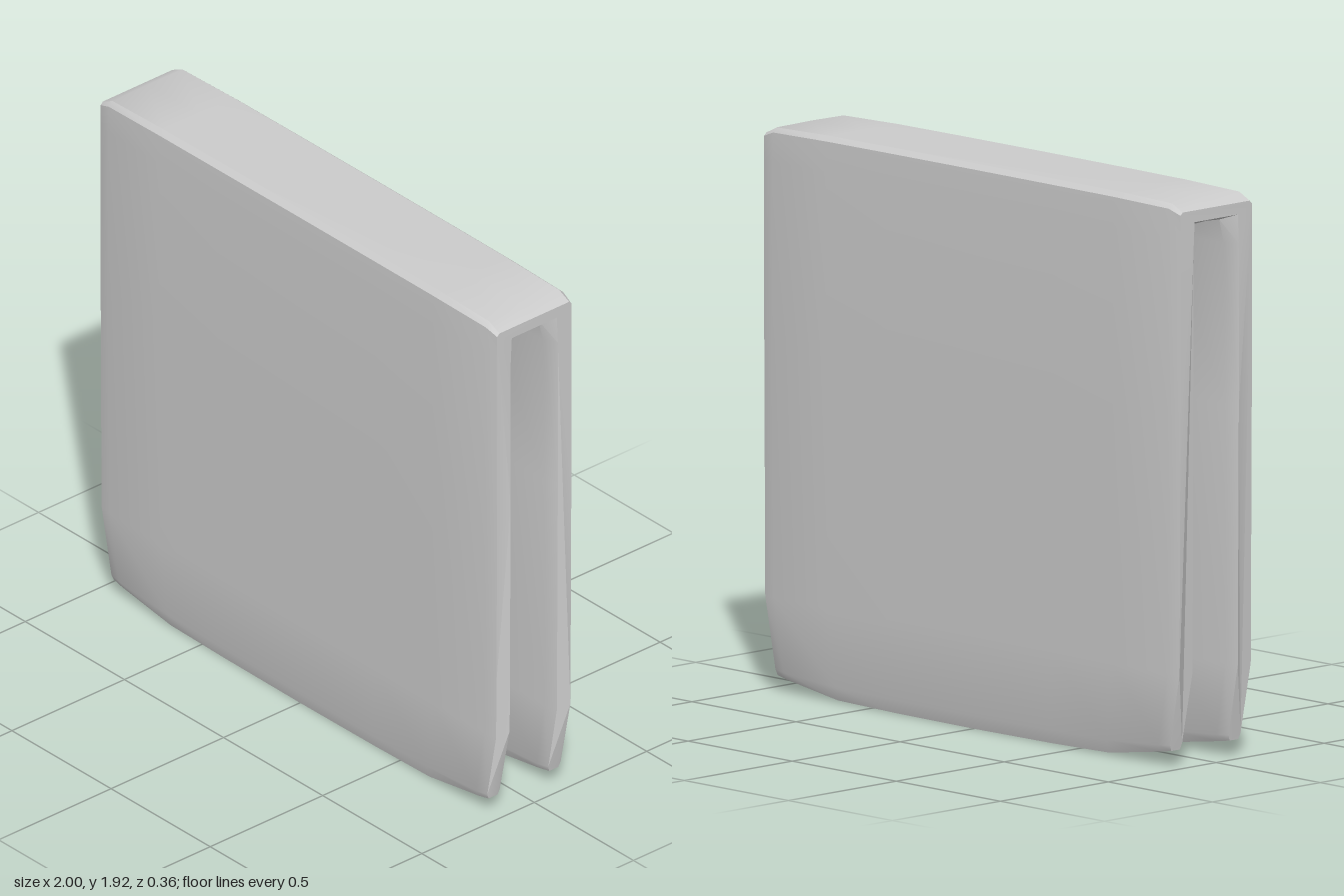
import * as THREE from 'three';
import { toCreasedNormals } from 'three/addons/utils/BufferGeometryUtils.js';

// Half of the U-shaped section as [z, y], from the top centre down the
// outside of a leg, round its tip and up the inside.
const MIDDLE = [
  [0, 1.925], [0.155, 1.922], [0.175, 1.905], [0.18, 1.8], [0.18, 1.2], [0.178, 0.32], [0.173, 0.052], [0.16, 0.003],
  [0.11, 0.003], [0.095, 0.052], [0.09, 0.32], [0.083, 1.2], [0.075, 1.75], [0.05, 1.825], [0, 1.83],
];
// The same points where the section is drawn in at the open ends.
const END = [
  [0, 1.89], [0.155, 1.89], [0.165, 1.88], [0.165, 1.8], [0.165, 1.2], [0.165, 0.32], [0.163, 0.075], [0.155, 0.055],
  [0.115, 0.055], [0.108, 0.075], [0.105, 0.32], [0.105, 1.2], [0.105, 1.75], [0.1, 1.85], [0, 1.85],
];
// Stations across the width: [position, blend to END, blend for the leg tips]
const HALF_STATIONS = [[0, 0, 0], [0.4, 0.02, 0.04], [0.69, 0.06, 0.14], [0.95, 0.25, 0.85], [1, 1, 1]];

// Half the width at a height: the lower corners taper in.
function halfWidth(y) {
  const t = THREE.MathUtils.clamp((y - 0.06) / 0.26, 0, 1);
  return 0.945 + 0.05 * t + 0.005 * THREE.MathUtils.clamp((y - 0.32) / 0.9, 0, 1);
}

function section([, blend, tipBlend]) {
  const half = MIDDLE.map(([z, y], i) => {
    const t = y < 0.06 ? tipBlend : blend;
    return [
      THREE.MathUtils.lerp(z, END[i][0], blend),
      THREE.MathUtils.lerp(y, END[i][1], t),
    ];
  });
  const mirrored = half.slice(1, -1).reverse().map(([z, y]) => [-z, y]);
  return half.concat(mirrored);
}

function foldedShell() {
  const stations = [
    ...HALF_STATIONS.slice(1).reverse().map(([s, a, b]) => [-s, a, b]),
    ...HALF_STATIONS,
  ];
  const positions = [];
  const index = [];
  const count = section(stations[0]).length;

  // Rings of the section, widened to the outline
  stations.forEach((station) => {
    section(station).forEach(([z, y]) => positions.push(station[0] * halfWidth(y), y, z));
  });
  for (let k = 0; k < stations.length - 1; k++) {
    for (let i = 0; i < count; i++) {
      const j = (i + 1) % count;
      const a = k * count + i, b = k * count + j;
      const c = b + count, d = a + count;
      index.push(a, b, c, a, c, d);
    }
  }

  // U-shaped end faces
  const contour = section(stations[0]).map(([z, y]) => new THREE.Vector2(-z, y));
  const last = (stations.length - 1) * count;
  THREE.ShapeUtils.triangulateShape(contour, []).forEach(([a, b, c]) => {
    index.push(last + a, last + b, last + c);
    index.push(a, c, b);
  });

  const geometry = new THREE.BufferGeometry();
  geometry.setAttribute('position', new THREE.Float32BufferAttribute(positions, 3));
  geometry.setIndex(index);
  return toCreasedNormals(geometry, 0.5);
}

export function createModel() {
  const group = new THREE.Group();
  group.name = 'foldedPanel';
  const material = new THREE.MeshStandardMaterial({ color: 0xcccccc });
  const shell = new THREE.Mesh(foldedShell(), material);
  shell.name = 'foldedShell';
  group.add(shell);
  return group;
}
